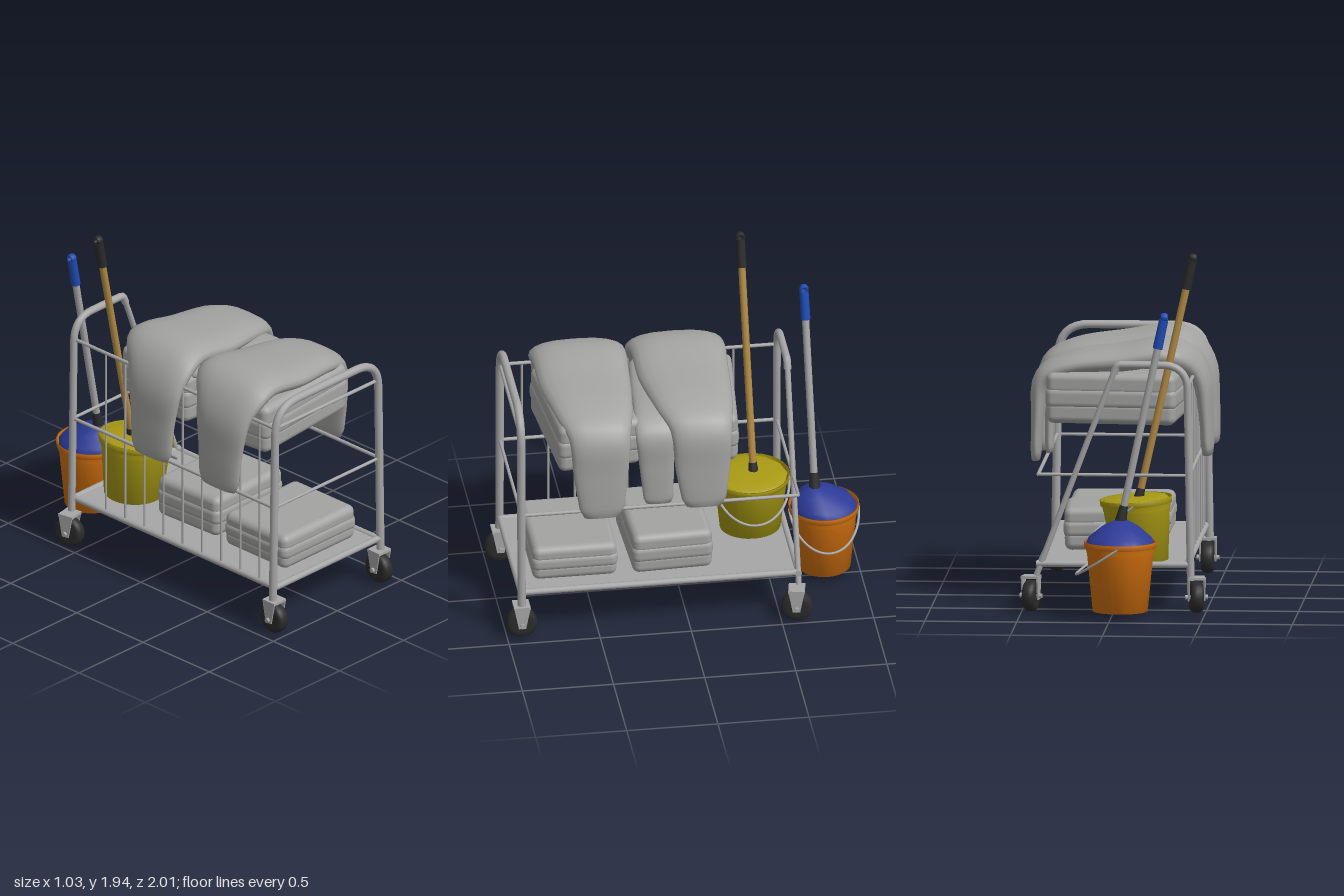
import * as THREE from 'three';
import { RoundedBoxGeometry } from 'three/addons/geometries/RoundedBoxGeometry.js';

const mat = (name, color, side = THREE.FrontSide) => {
  const m = new THREE.MeshStandardMaterial({ color, side });
  m.name = name;
  return m;
};
const V = (x, y, z) => new THREE.Vector3(x, y, z);
const points2 = list => list.map(p => new THREE.Vector2(...p));

export function createModel() {
  const root = new THREE.Group();
  root.name = 'linenCart';
  const steel = mat('steel', 0xa6a6a6);
  const linen = mat('linen', 0xa3a3a1);
  const rubber = mat('blackRubber', 0x2b2b2b);
  const yellow = mat('yellowPlastic', 0xa89a14, THREE.DoubleSide);
  const orange = mat('orangePlastic', 0xd0700e, THREE.DoubleSide);
  const blueMop = mat('blueMop', 0x2b3a96);
  const blueGrip = mat('blueGrip', 0x1f4bb4);
  const wood = mat('wood', 0xb08a44);

  const add = (parent, name, geo, material) => {
    const mesh = new THREE.Mesh(geo, material);
    mesh.name = name;
    parent.add(mesh);
    return mesh;
  };
  const group = name => {
    const g = new THREE.Group();
    g.name = name;
    root.add(g);
    return g;
  };
  // straight round bar between two points
  const bar = (parent, name, a, b, r, material = steel, r2 = r) => {
    const d = b.clone().sub(a);
    const m = add(parent, name, new THREE.CylinderGeometry(r2, r, d.length(), 12), material);
    m.position.copy(a).addScaledVector(d, 0.5);
    m.quaternion.setFromUnitVectors(V(0, 1, 0), d.normalize());
  };
  // bent tube through corners, each with its own bend radius
  const bentTube = (parent, name, pts, bends, r) => {
    const path = new THREE.CurvePath();
    let from = pts[0];
    for (let i = 1; i < pts.length - 1; i++) {
      const p = pts[i];
      const a = p.clone().add(pts[i - 1].clone().sub(p).setLength(bends[i - 1]));
      const b = p.clone().add(pts[i + 1].clone().sub(p).setLength(bends[i - 1]));
      path.add(new THREE.LineCurve3(from, a));
      path.add(new THREE.QuadraticBezierCurve3(a, p, b));
      from = b;
    }
    path.add(new THREE.LineCurve3(from, pts[pts.length - 1]));
    add(parent, name, new THREE.TubeGeometry(path, 90, r, 12), steel);
  };

  // frame: front hoop, lopsided rear hoop, rails and wires
  const F = 0.92, B = -0.6, X = 0.42;
  const frame = group('frame');
  bentTube(frame, 'frontHoop', [V(-X, 0.18, F), V(-0.4, 1.36, F), V(0.4, 1.36, F), V(X, 0.18, F)], [0.17, 0.17], 0.023);
  bentTube(frame, 'rearHoop', [V(-X, 0.18, B), V(-0.4, 1.36, B), V(-0.02, 1.36, B), V(0.0, 1.31, B)], [0.14, 0.02], 0.021);
  bar(frame, 'slantedPost', V(X, 0.2, B), V(-0.01, 1.34, B), 0.016);
  for (const s of [-1, 1]) {
    bar(frame, 'trayRail', V(s * 0.4, 0.265, F), V(s * 0.4, 0.265, B), 0.018);
    bar(frame, 'middleRail', V(s * 0.41, 0.755, F), V(s * 0.41, 0.755, B), 0.01);
  }
  bar(frame, 'upperRail', V(-0.4, 1.235, F), V(-0.4, 1.235, B), 0.01);
  bar(frame, 'upperFrontBar', V(-0.4, 1.235, F), V(0.4, 1.235, F), 0.01);
  for (const z of [F, B]) {
    bar(frame, 'middleCrossBar', V(-0.41, 0.755, z), V(0.41, 0.755, z), 0.009);
    bar(frame, 'lowerCrossBar', V(-X, 0.265, z), V(X, 0.265, z), 0.018);
  }
  for (let i = 0; i < 9; i++) {
    const z = 0.8 - i * 0.145;
    bar(frame, 'sideWire', V(-0.4, 0.26, z), V(-0.4, 1.235, z), 0.006);
  }
  add(frame, 'tray', new THREE.BoxGeometry(0.82, 0.016, 1.5), steel).position.set(0, 0.262, 0.16);

  // swivel casters, the rear pair set wider and turned a little
  const tread = new THREE.LatheGeometry(points2(
    [[0, -0.034], [0.05, -0.034], [0.072, -0.034], [0.084, -0.02], [0.086, 0], [0.084, 0.02], [0.072, 0.034], [0.05, 0.034], [0, 0.034]]), 24);
  const forkShape = new THREE.Shape(points2([[-0.02, -0.02], [0.02, -0.02], [0.045, 0.11], [-0.045, 0.11]]));
  const forkPlate = new THREE.ExtrudeGeometry(forkShape, { depth: 0.008, bevelEnabled: false });
  for (const sx of [-1, 1]) for (const z of [F, B]) {
    const c = group('caster');
    c.position.set(sx * (z === F ? 0.41 : 0.45), 0.087, z === F ? F : -0.585);
    c.rotation.y = z === F ? 0 : sx * -0.18;
    add(c, 'wheel', tread, rubber).rotation.z = Math.PI / 2;
    for (const s of [-1, 1]) {
      const plate = add(c, 'forkPlate', forkPlate, steel);
      plate.rotation.y = Math.PI / 2;
      plate.position.x = s * 0.043 - 0.004;
    }
    add(c, 'forkTop', new THREE.BoxGeometry(0.094, 0.014, 0.09), steel).position.y = 0.104;
    bar(c, 'axle', V(-0.062, 0, 0), V(0.062, 0, 0), 0.013);
  }

  // folded towel stacks, three soft overlapping layers each
  const stack = (name, x, y, z, w, h, d, turn, tilt) => {
    const g = group(name);
    g.position.set(x, y, z);
    g.rotation.set(0, turn, tilt);
    const layer = h / 3 + 0.03;
    for (let i = 0; i < 3; i++) {
      const inset = i === 1 ? 0 : 0.01;
      const m = add(g, 'foldedTowel', new RoundedBoxGeometry(w - inset, layer, d - inset, 4, 0.04), linen);
      m.position.y = layer / 2 + i * (h - layer) / 2;
    }
  };
  stack('lowerStackFront', 0.035, 0.275, 0.61, 0.57, 0.2, 0.475, 0, 0);
  stack('lowerStackRear', 0.03, 0.275, 0.083, 0.56, 0.235, 0.45, 0.04, -0.02);
  stack('upperStackFront', 0.015, 0.985, 0.51, 0.72, 0.28, 0.47, 0.09, 0);
  stack('upperStackRear', 0.015, 0.985, -0.035, 0.72, 0.28, 0.55, -0.09, 0);

  // draped blanket, lofted from stations: x, y, half thickness, z centre, half width
  const blanket = (name, stations, zShift) => {
    const line = new THREE.CatmullRomCurve3(stations.map(s => V(s[0], s[1], s[3] + zShift)));
    const size = new THREE.CatmullRomCurve3(stations.map(s => V(s[2], s[4], 0)));
    const N = 40, R = 20, pos = [], idx = [];
    for (let i = 0; i <= N; i++) {
      const p = line.getPoint(i / N), q = size.getPoint(i / N), t = line.getTangent(i / N);
      const l = Math.hypot(t.x, t.y), nx = -t.y / l, ny = t.x / l;
      const end = i === 0 || i === N ? 0.85 : 1;
      for (let j = 0; j < R; j++) {
        const a = j / R * Math.PI * 2, c = Math.cos(a), s = Math.sin(a);
        const n = Math.sign(c) * Math.abs(c) ** 0.95 * q.x * end;
        const w = Math.sign(s) * Math.abs(s) ** 0.72 * q.y * end;
        pos.push(p.x + nx * n, p.y + ny * n, p.z + w);
      }
    }
    for (const i of [0, N]) {
      const p = line.getPoint(i / N);
      pos.push(p.x, p.y, p.z);
    }
    const c0 = (N + 1) * R;
    for (let j = 0; j < R; j++) {
      const k = (j + 1) % R, e = N * R;
      for (let i = 0; i < N; i++) {
        const a = i * R + j, b = i * R + k;
        idx.push(a, b, a + R, b, b + R, a + R);
      }
      idx.push(c0, k, j, c0 + 1, e + j, e + k);
    }
    const g = new THREE.BufferGeometry();
    g.setAttribute('position', new THREE.Float32BufferAttribute(pos, 3));
    g.setIndex(idx);
    g.computeVertexNormals();
    add(root, name, g, linen);
  };
  const drape = [
    [-0.47, 0.785, 0.032, 0.05, 0.14], [-0.46, 1.0, 0.038, 0.05, 0.158], [-0.425, 1.22, 0.052, 0.04, 0.195],
    [-0.29, 1.345, 0.075, -0.025, 0.26], [0, 1.32, 0.07, -0.03, 0.25], [0.28, 1.285, 0.06, -0.05, 0.21],
    [0.415, 1.215, 0.052, -0.068, 0.168], [0.447, 1.0, 0.035, -0.07, 0.15], [0.457, 0.745, 0.027, -0.078, 0.115]];
  blanket('rearBlanket', drape.map(s => [s[0], s[1] + (s[1] < 0.76 ? 0.02 : 0), s[2], s[3], s[4]]), 0);
  blanket('frontBlanket', drape.map(s => [s[0], s[1] - 0.005, s[2], s[3] * 0.6, s[4]]), 0.53);
  blanket('underBlanket', [
    [-0.3, 1.26, 0.03, 0.1, 0.13], [0, 1.26, 0.03, 0.14, 0.12], [0.3, 1.245, 0.03, 0.17, 0.115],
    [0.385, 1.18, 0.03, 0.18, 0.108], [0.395, 1.0, 0.028, 0.175, 0.095], [0.4, 0.77, 0.022, 0.165, 0.08]], 0);

  // bucket with rim, mop head filling it and a wire bail
  const bucket = (name, x, y, z, h, peak, skew, material, mopMaterial, tilt, depth) => {
    const g = group(name);
    g.position.set(x, y, z);
    g.rotation.z = tilt;
    g.scale.z = depth;
    const profile = [[0, 0], [0.15, 0], [0.184, h - 0.03], [0.196, h - 0.03], [0.198, h], [0.19, h], [0.184, h - 0.06]];
    add(g, 'pail', new THREE.LatheGeometry(points2(profile), 28), material);
    const rise = [[0.187, h - 0.012], [0.172, h + peak * 0.22], [0.105, h + peak * 0.7], [0.04, h + peak], [0, h + peak]];
    const head = new THREE.LatheGeometry(points2(rise), 12);
    const p = head.attributes.position;
    for (let i = 0; i < p.count; i++) p.setZ(i, p.getZ(i) + skew * Math.max(0, p.getY(i) - h) / peak);
    head.computeVertexNormals();
    add(g, 'mopHead', head, mopMaterial);
    const pts = [];
    for (let i = 0; i <= 16; i++) {
      const a = i / 16 * Math.PI;
      pts.push(V(0.24 * Math.sin(a), h - 0.02 - 0.16 * Math.sin(a), 0.194 * Math.cos(a)));
    }
    add(g, 'bail', new THREE.TubeGeometry(new THREE.CatmullRomCurve3(pts), 40, 0.007, 8), steel);
  };
  bucket('yellowBucket', -0.135, 0.235, -0.413, 0.37, 0.012, 0, yellow, yellow, -0.07, 1.08);
  bucket('orangeBucket', -0.05, 0.04, -0.805, 0.38, 0.11, 0.045, orange, blueMop, 0, 0.98);

  // mop handle: collar, shaft, grip with hanging loop
  const mop = (name, a, b, gripLength, shaftMat, gripMat) => {
    const g = group(name);
    const len = a.distanceTo(b);
    const at = d => a.clone().lerp(b, d / len);
    bar(g, 'collar', at(-0.03), at(0.06), 0.033, rubber, 0.022);
    bar(g, 'shaft', at(0.04), at(len - gripLength), 0.02, shaftMat);
    bar(g, 'grip', at(len - gripLength), at(len - 0.04), 0.027, gripMat, 0.025);
    const loop = add(g, 'hangingLoop', new THREE.TorusGeometry(0.017, 0.009, 8, 16), gripMat);
    loop.position.copy(at(len - 0.026));
    loop.rotation.y = Math.PI / 2;
    loop.scale.z = 2.2;
  };
  mop('woodMop', V(-0.125, 0.6, -0.43), V(-0.425, 1.945, -0.4), 0.2, wood, rubber);
  mop('metalMop', V(-0.055, 0.55, -0.755), V(-0.29, 1.665, -0.73), 0.2, steel, blueGrip);

  return root;
}
